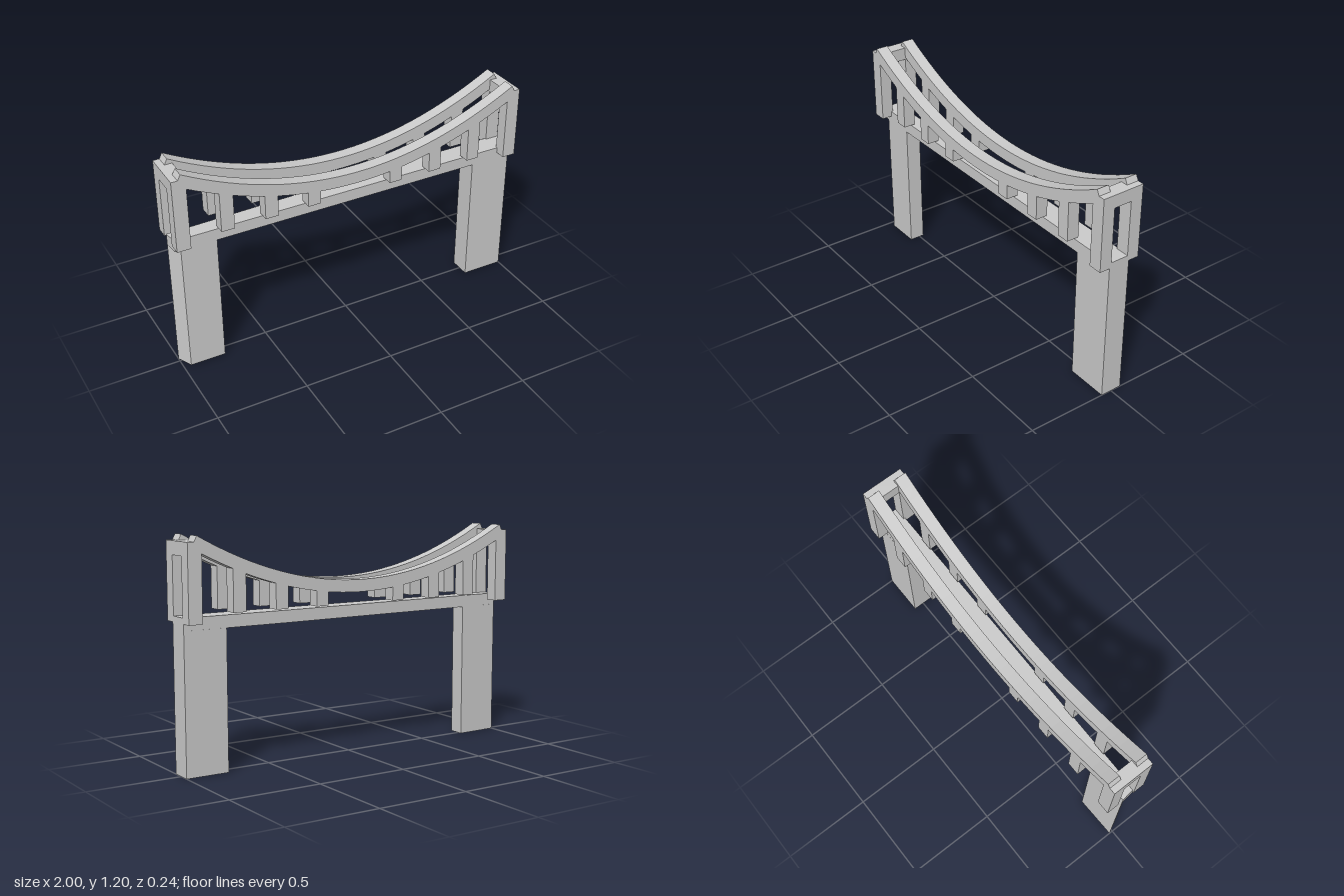
import * as THREE from 'three';

const material = new THREE.MeshStandardMaterial({ color: 0xcccccc, flatShading: true });

// Cable curves, sagging to the middle
const cableTop = (x) => 0.94 + 0.26 * (x / 0.95) ** 2;
const cableBottom = (x) => 0.875 + 0.24 * (x / 0.93) ** 2;

function add(parent, name, geometry) {
  const mesh = new THREE.Mesh(geometry, material);
  mesh.name = name;
  parent.add(mesh);
  return mesh;
}

function box(parent, name, [x0, x1], [y0, y1], [z0, z1]) {
  const mesh = add(parent, name, new THREE.BoxGeometry(x1 - x0, y1 - y0, z1 - z0));
  mesh.position.set((x0 + x1) / 2, (y0 + y1) / 2, (z0 + z1) / 2);
  return mesh;
}

// Upright prism from a plan outline of [x, z] points
function prism(parent, name, plan, y0, y1) {
  const shape = new THREE.Shape(plan.map(([x, z]) => new THREE.Vector2(x, -z)));
  const geometry = new THREE.ExtrudeGeometry(shape, { depth: y1 - y0, bevelEnabled: false });
  geometry.rotateX(-Math.PI / 2).translate(0, y0, 0);
  return add(parent, name, geometry);
}

// Side frame outline: two end posts joined by the sagging cable
function sideFrameShape() {
  const steps = 32;
  const points = [[-1, 0.77], [-0.925, 0.77]];
  for (let i = 0; i <= steps; i++) {
    const x = -0.925 + (1.85 * i) / steps;
    points.push([x, cableBottom(x)]);
  }
  points.push([0.925, 0.77], [1, 0.77], [1, 1.17], [0.965, 1.17]);
  for (let i = 0; i <= steps; i++) {
    const x = 0.95 - (1.9 * i) / steps;
    points.push([x, cableTop(x)]);
  }
  points.push([-0.965, 1.17], [-1, 1.17]);
  return new THREE.Shape(points.map(([x, y]) => new THREE.Vector2(x, y)));
}

export function createModel() {
  const model = new THREE.Group();
  model.name = 'suspensionBridge';

  // Deck, tapering along the back towards the right end
  prism(model, 'deck',
    [[-0.99, 0.06], [1, 0.06], [1, -0.06], [0.4, -0.057], [-0.93, -0.021], [-1, -0.02]], 0.735, 0.8);

  // Legs: one square, one with its outer corner cut away
  box(model, 'leftLeg', [0.765, 1], [0, 0.736], [-0.06, 0.06]);
  prism(model, 'rightLeg',
    [[-0.96, 0.06], [-0.765, 0.06], [-0.765, -0.026], [-1, -0.02]], 0, 0.736);

  // Side frames with hangers, front and back
  const inner = 0.05, outer = 0.118;
  for (const side of [1, -1]) {
    const frame = new THREE.Group();
    frame.name = side > 0 ? 'frontFrame' : 'backFrame';
    const z = side > 0 ? [inner, outer] : [-outer, -inner];
    const geometry = new THREE.ExtrudeGeometry(sideFrameShape(), { depth: outer - inner, bevelEnabled: false });
    add(frame, 'postsAndCable', geometry.translate(0, 0, z[0]));
    for (const x of [-0.725, -0.484, -0.243, 0.237, 0.478, 0.72]) {
      box(frame, 'hanger', [x - 0.036, x + 0.036], [0.815, cableBottom(x) + 0.03], z);
    }
    model.add(frame);
  }

  // Cross beams joining the post tops
  for (const side of [1, -1]) {
    const x = side > 0 ? [0.925, 1] : [-1, -0.925];
    box(model, 'crossBeam', x, [1.1, 1.17], [-inner, inner]);
  }
  return model;
}
